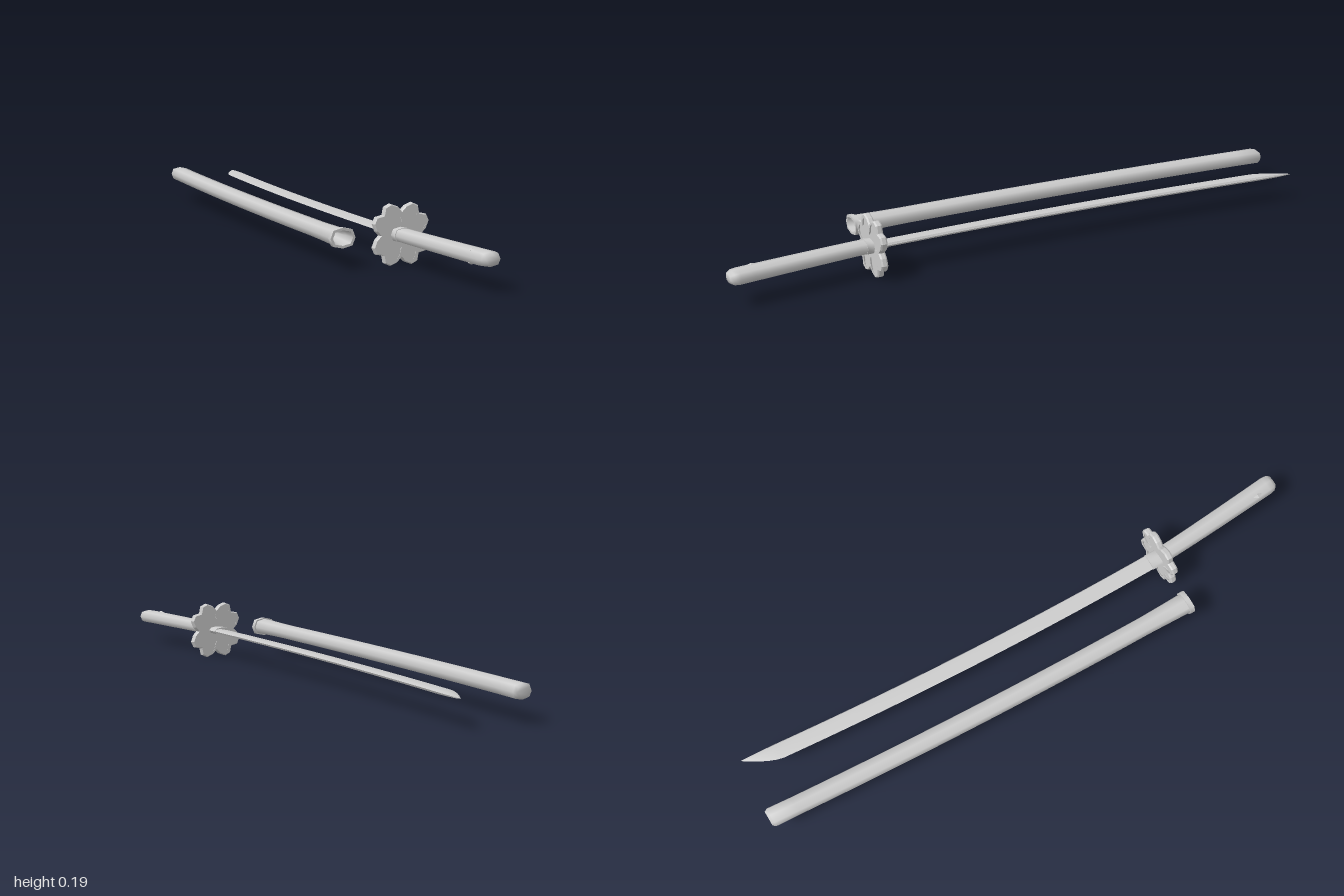
import * as THREE from 'three';
import { toCreasedNormals, mergeVertices } from 'three/addons/utils/BufferGeometryUtils.js';

const MID_Y = 0.097;
const material = new THREE.MeshStandardMaterial({ color: 0xcccccc, side: THREE.DoubleSide });

// Skin a list of counter-clockwise rings and close both ends with a fan.
function loft(rings, crease) {
  const n = rings[0].length, pos = [], idx = [];
  for (const ring of rings) for (const p of ring) pos.push(...p);
  for (let i = 0; i < rings.length - 1; i++) {
    for (let j = 0; j < n; j++) {
      const k = (j + 1) % n, a = i * n + j, b = i * n + k;
      idx.push(a, b, b + n, a, b + n, a + n);
    }
  }
  const last = (rings.length - 1) * n;
  for (let j = 1; j < n - 1; j++) {
    idx.push(0, j + 1, j);
    idx.push(last, last + j, last + j + 1);
  }
  const geo = new THREE.BufferGeometry();
  geo.setAttribute('position', new THREE.Float32BufferAttribute(pos, 3));
  geo.setIndex(idx);
  return toCreasedNormals(geo, crease);
}

// Eight-sided oval ring, half width w and half height h
const D = 0.77;
const OCT = [[1, 0], [D, D], [0, 1], [-D, D], [-1, 0], [-D, -D], [0, -1], [D, -D]];
const oval = (x, z, w, h) => OCT.map(([u, v]) => [x + u * w, MID_Y + v * h, z]);

// Centre lines seen from above
const scabbardX = (z) => -0.11 - 0.0412 * z + 0.0238 * z * z;
const bladeX = (z) => 0.07 - 0.041 * z + 0.034 * z * z;
const handleX = (z) => 0.058 + 0.03 * Math.pow(Math.max(0, (z - 0.53) / 0.47), 1.2);

function add(group, name, geometry) {
  const mesh = new THREE.Mesh(geometry, material);
  mesh.name = name;
  group.add(mesh);
  return mesh;
}

function scabbardGeometry() {
  const rings = [oval(scabbardX(-1), -1, 0.026, 0.018), oval(scabbardX(-0.99), -0.99, 0.033, 0.024)];
  for (let i = 1; i <= 16; i++) {
    const z = -0.99 + (1.34 * i) / 16;
    rings.push(oval(scabbardX(z), z, 0.032, 0.024));
  }
  // flare, mouth collar, then back inside the opening
  for (const [z, w, h] of [
    [0.43, 0.034, 0.025], [0.503, 0.036, 0.027], [0.503, 0.041, 0.031], [0.52, 0.041, 0.031],
    [0.52, 0.033, 0.023], [0.48, 0.029, 0.019], [0.42, 0.02, 0.012],
  ]) rings.push(oval(scabbardX(z), z, w, h));
  return loft(rings, 1.1);
}

function bladeGeometry() {
  const section = [[1, 0], [0.85, 0.8], [0.25, 1], [-1, 0], [0.25, -1], [0.85, -0.8]];
  const rings = [];
  const slice = (z, keep) => {
    // keep is the share of the width left beside the spine
    const spine = bladeX(z) + 0.027 - 0.004 * (1 - keep);
    const hw = 0.027 * keep, t = 0.0078 * Math.pow(keep, 0.6);
    rings.push(section.map(([u, v]) => [spine - hw + u * hw, MID_Y + v * t, z]));
  };
  for (let i = 0; i <= 6; i++) {
    const s = 1 - i / 6;
    slice(-0.865 - 0.122 * s, Math.max(0.01, 1 - Math.pow(s, 1.5)));
  }
  for (let i = 1; i <= 16; i++) slice(-0.865 + (1.39 * i) / 16, 1);
  return loft(rings, 0.5);
}

function handleGeometry() {
  const rings = [];
  for (let i = 0; i <= 10; i++) {
    const t = i / 10, z = 0.53 + 0.44 * t;
    rings.push(oval(handleX(z), z, 0.029 + 0.004 * t, 0.021 + 0.002 * t));
  }
  rings.push(oval(handleX(0.988), 0.988, 0.031, 0.021));
  rings.push(oval(handleX(1), 1, 0.022, 0.014));
  return loft(rings, 1.1);
}

// Repeat the first-quadrant half petal around four petals
function flower(halfPetal, PathType) {
  const quarter = [...halfPetal, ...halfPetal.slice(0, -1).reverse().map(([x, y]) => [y, x])];
  const pts = [];
  for (let q = 0; q < 4; q++) {
    const c = [1, 0, -1, 0][q], s = [0, 1, 0, -1][q];
    // clockwise quarter starting at the top; the shared end point is dropped
    for (const [x, y] of quarter.slice(0, -1)) pts.push(new THREE.Vector2(c * x + s * y, -s * x + c * y));
  }
  return new PathType(pts);
}

function buildGuard() {
  const guard = new THREE.Group();
  guard.name = 'guard';
  const outer = [[0, 0.067], [0.015, 0.082], [0.036, 0.09], [0.053, 0.082], [0.058, 0.058]];
  const inner = [[0, 0.036], [0.006, 0.058], [0.014, 0.074], [0.027, 0.081], [0.04, 0.077], [0.047, 0.068], [0.049, 0.049]];

  // raised rim following the petals
  const rimShape = flower(outer, THREE.Shape);
  rimShape.holes.push(flower(inner, THREE.Path));
  const rim = new THREE.ExtrudeGeometry(rimShape, {
    depth: 0.012, bevelEnabled: true, bevelThickness: 0.005, bevelSize: 0.003, bevelSegments: 1,
  });
  rim.translate(0, 0, -0.006);
  add(guard, 'guardRim', rim);

  // recessed petal plate
  const plate = new THREE.ExtrudeGeometry(flower(outer, THREE.Shape), { depth: 0.01, bevelEnabled: false });
  plate.translate(0, 0, -0.005);
  add(guard, 'guardPlate', plate);

  guard.position.set(0.061, MID_Y, 0.528);
  return guard;
}

export function createModel() {
  const model = new THREE.Group();
  add(model, 'scabbard', scabbardGeometry());

  const sword = new THREE.Group();
  sword.name = 'sword';
  model.add(sword);
  add(sword, 'blade', bladeGeometry());
  add(sword, 'handle', handleGeometry());
  sword.add(buildGuard());

  // collars on both sides of the guard
  add(sword, 'bladeCollar', loft([0.485, 0.525].map((z) => oval(bladeX(z), z, 0.029, 0.012)), 1.1));
  add(sword, 'handleCollar', loft([0.53, 0.555].map((z) => oval(handleX(z), z, 0.031, 0.0225)), 1.1));

  // small ornament near the pommel, above and below
  for (const side of [1, -1]) {
    const stud = add(sword, 'handleOrnament', new THREE.OctahedronGeometry(1));
    stud.scale.set(0.01, 0.006, 0.022);
    stud.position.set(0.065, MID_Y + side * 0.018, 0.922);
  }
  return model;
}
